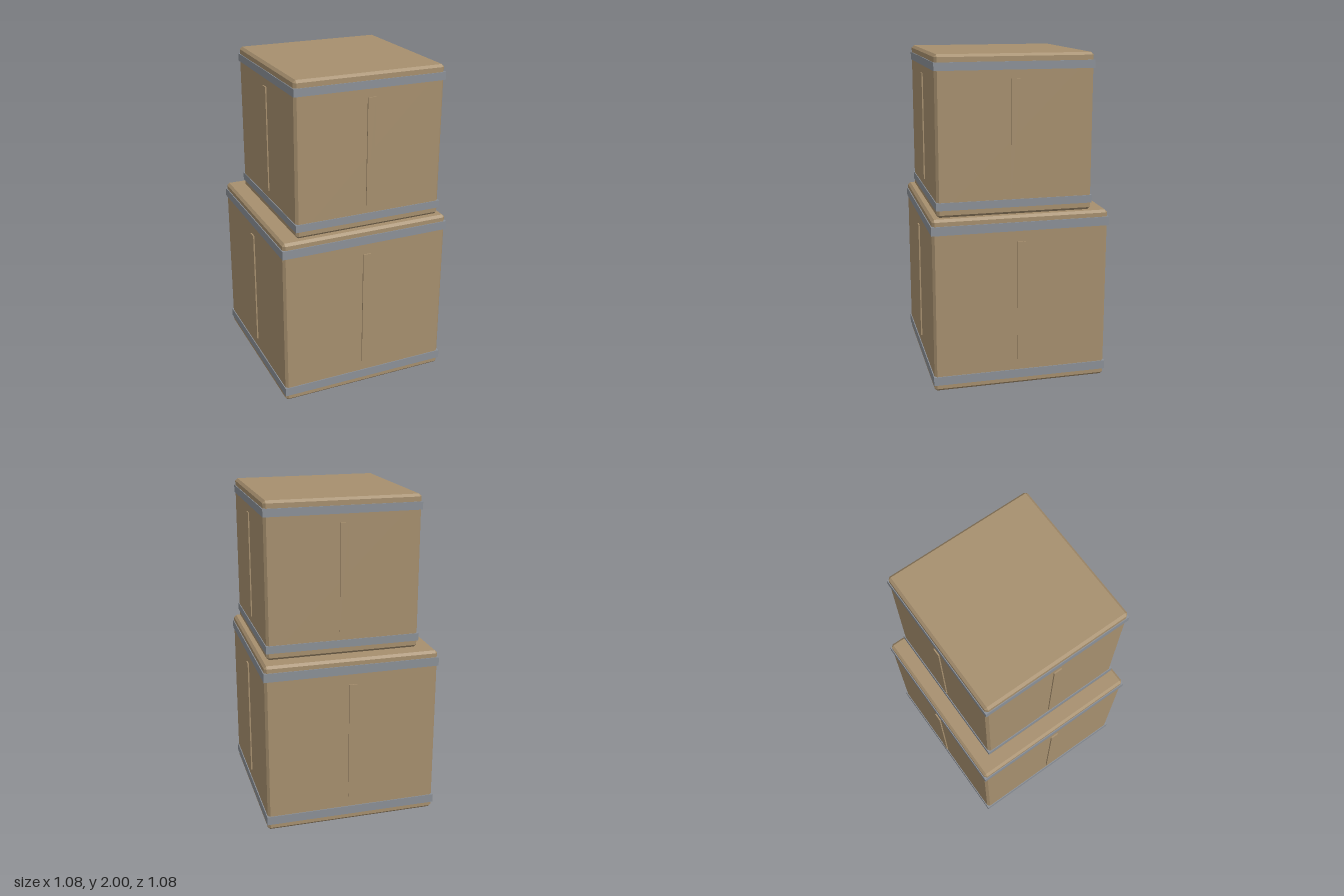
import * as THREE from 'three';
import { ConvexGeometry } from 'three/addons/geometries/ConvexGeometry.js';

const wood = new THREE.MeshStandardMaterial({ color: 0xa68f6e, flatShading: true });
const metal = new THREE.MeshStandardMaterial({ color: 0x8b9097, flatShading: true });

// Cube with every edge cut by a flat chamfer
function chamferedCube(size, chamfer) {
  const h = size / 2, k = h - chamfer;
  const points = [];
  for (const x of [-1, 1]) for (const y of [-1, 1]) for (const z of [-1, 1]) {
    points.push(
      new THREE.Vector3(x * h, y * k, z * k),
      new THREE.Vector3(x * k, y * h, z * k),
      new THREE.Vector3(x * k, y * k, z * h));
  }
  return new ConvexGeometry(points);
}

function addPart(parent, name, geometry, material) {
  const mesh = new THREE.Mesh(geometry, material);
  mesh.name = name;
  parent.add(mesh);
  return mesh;
}

// One crate, centred on its own origin
function createCrate(name, size) {
  const crate = new THREE.Group();
  crate.name = name;
  addPart(crate, 'body', chamferedCube(size, 0.015), wood);

  // Metal straps near the top and bottom
  const strapWidth = size * 1.01;
  for (const side of [-1, 1]) {
    const strap = addPart(crate, side < 0 ? 'bottomStrap' : 'topStrap',
      new THREE.BoxGeometry(strapWidth, size * 0.05, strapWidth), metal);
    strap.position.y = side * (size / 2 - 0.067);
  }

  // Upright slat in the middle of each of the four sides
  const depth = 0.02;
  ['frontSlat', 'leftSlat', 'backSlat', 'rightSlat'].forEach((slatName, i) => {
    const angle = i * Math.PI / 2;
    const reach = size * 0.508 - depth / 2;
    const slat = addPart(crate, slatName, new THREE.BoxGeometry(0.05, size * 0.7, depth), wood);
    slat.position.set(Math.sin(angle) * reach, 0, Math.cos(angle) * reach);
    slat.rotation.y = angle;
  });
  return crate;
}

export function createModel() {
  const model = new THREE.Group();
  model.name = 'stackedCrates';
  const lowerSize = 1.067, upperSize = 0.933;

  const lower = createCrate('lowerCrate', lowerSize);
  lower.position.y = lowerSize / 2;

  // The smaller crate sits slightly off centre
  const upper = createCrate('upperCrate', upperSize);
  upper.position.set(0.031, lowerSize + upperSize / 2, 0.031);

  model.add(lower, upper);
  return model;
}
